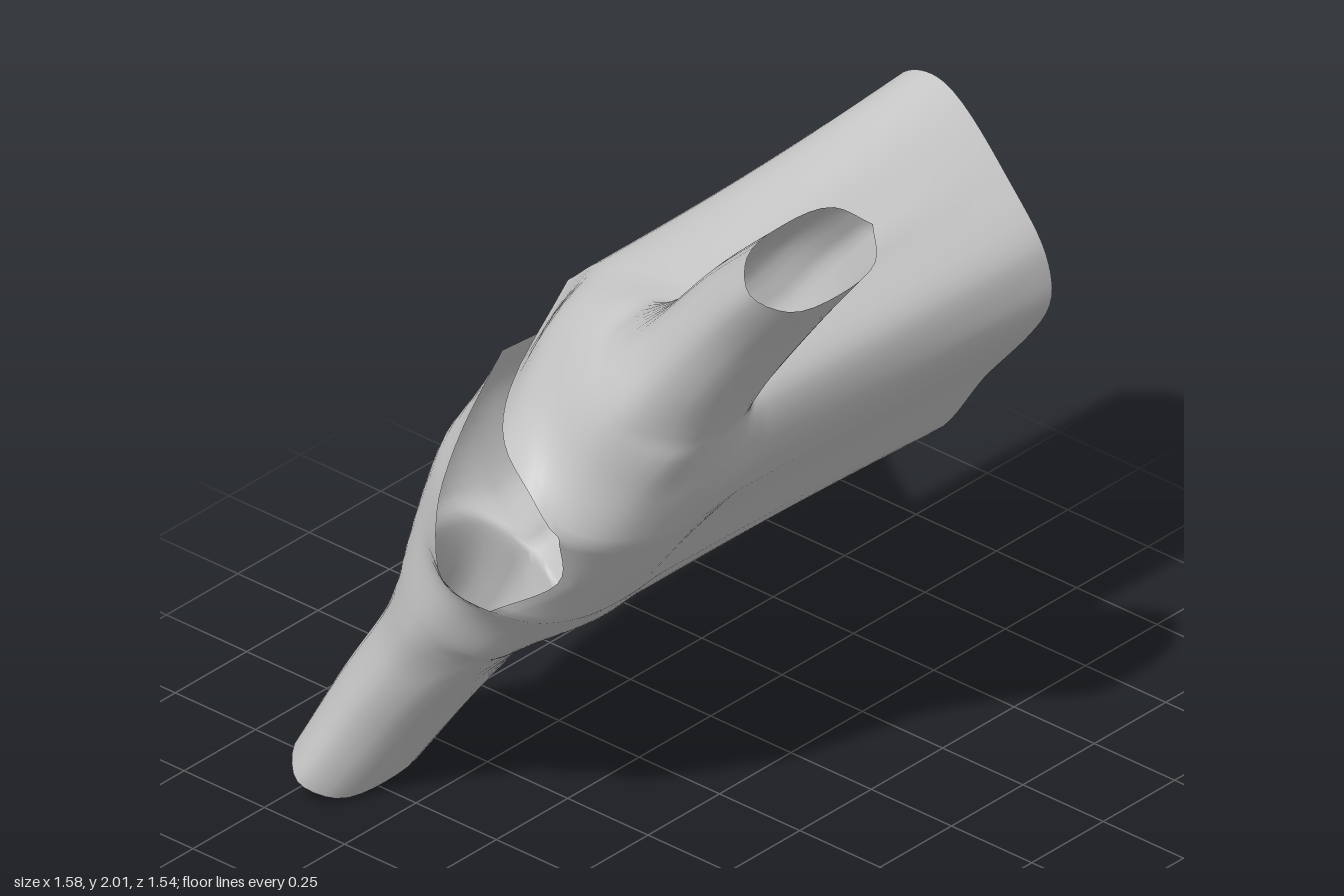
import * as THREE from 'three';
import { mergeVertices } from 'three/addons/utils/BufferGeometryUtils.js';

// Open jacket. Design axes: u = across the shoulders, v = towards the chest, w = hem to neck.
const N = 6;        // steps between stations
const ARC = 32;     // steps over the shoulder, back to front
const HEM_ROWS = 20;
const V = (p) => new THREE.Vector3(...p);
const at = (points, t) => new THREE.CatmullRomCurve3(points, false, 'centripetal').getPoint(t);

// Arches over the shoulder: back hem side, shoulder ridge (middle point), front side
const neck = [[.2, -.2, .25], [.19, -.21, .4], [.185, -.2, .54], [.18, -.155, .67], [.178, -.08, .755],
  [.22, .04, .78], [.175, .18, .71], [.143, .29, .57], [.17, .44, .25]];
const shoulder = [[.36, -.18, .25], [.345, -.19, .38], [.335, -.17, .52], [.33, -.12, .64], [.325, 0, .715],
  [.32, .14, .69], [.31, .26, .59], [.31, .36, .43], [.33, .4, .25]];
const armhole = [[.485, -.095, .25], [.47, -.135, .35], [.47, -.14, .48], [.47, -.11, .61], [.47, .02, .695],
  [.47, .14, .66], [.47, .23, .56], [.475, .275, .41], [.49, .23, .25]];
const armpit = [[.52, .07, .25], [.535, -.075, .29], [.54, -.12, .42], [.54, -.1, .58], [.54, .02, .685],
  [.54, .14, .64], [.54, .205, .53], [.535, .195, .34], [.52, .07, .25]];
// Closed sleeve ring with flattened sides: position, middle and half depth, middle and half height
const ring = (u, cv, hv, cw, hw) => Array.from({ length: 9 }, (_, k) => {
  const a = k / 8 * Math.PI * 2, s = Math.sin(a);
  return [u, cv - hv * Math.sign(s) * Math.abs(s) ** .75, cw - hw * Math.cos(a)];
});
const stations = [neck, shoulder, armhole, armpit,
  ring(.7, .03, .135, .447, .215), ring(.93, .022, .122, .444, .218), ring(1.175, -.005, .105, .475, .215)];
const backCentre = [[0, -.19, .25], [0, -.21, .38], [0, -.21, .5], [0, -.185, .6], [0, -.138, .69],
  [0, 0, .73], [0, .1, .7], [0, .2, .6], [0, .3, .4]];
// Half outline of the hem from back centre to front edge
const hem = [[0, -.22], [.2, -.225], [.355, -.19], [.45, -.095], [.495, .1], [.485, .345], [.42, .415], [.3, .435]];

// Rows of points lofted smoothly through a list of stations
function loft(list, from, to) {
  const arcs = list.map((s) => Array.from({ length: ARC + 1 }, (_, j) => at(s.map(V), j / ARC)));
  const last = list.length - 1, rows = [];
  for (let i = from * N; i <= to * N; i++)
    rows.push(arcs[0].map((_, j) => at(arcs.map((a) => a[j]), i / N / last)));
  return rows;
}

// Adds a grid of points and its mirror image as triangles
function addGrid(out, rows) {
  const put = (p, s) => out.push(.6 * s * p.x - .8 * p.y, 1 + .8 * s * p.x + .6 * p.y, p.z);
  for (let i = 0; i < rows.length - 1; i++)
    for (let j = 0; j < rows[0].length - 1; j++) {
      const a = rows[i][j], b = rows[i][j + 1], c = rows[i + 1][j + 1], d = rows[i + 1][j];
      [a, c, b, a, d, c].forEach((p) => put(p, 1));
      [a, b, c, a, c, d].forEach((p) => put(p, -1));
    }
}

export function createModel() {
  const group = new THREE.Group();
  group.name = 'openJacket';
  const out = [];

  // Shoulders and sleeves, closed under the arm from the armpit on
  const side = loft(stations, 0, stations.length - 1);
  for (const row of side.slice(3 * N)) {
    const mid = row[0].clone().lerp(row[ARC], .5);
    row[0].copy(mid);
    row[ARC].copy(mid);
  }
  addGrid(out, side);

  // Upper back between the neck sides
  const mirroredNeck = neck.map(([u, v, w]) => [-u, v, w]);
  const back = loft([mirroredNeck, backCentre, neck], 1, 2).map((r) => r.slice(0, ARC / 2 + 1));
  addGrid(out, back);

  // Torso from the lower edge of the yoke, slightly waisted, down to an uneven hem
  const top = [
    ...back.slice(0, N).map((r) => r[0]),
    ...side.slice(0, 3 * N + 1).map((r) => r[0]),
    ...side.slice(0, 3 * N).reverse().map((r) => r[ARC]),
  ];
  const hemPoints = hem.map(([u, v]) => V([u, v, 0]));
  const bottom = top.map((_, k) => {
    const t = k / (top.length - 1);
    const p = at(hemPoints, t);
    p.z = -.745 + .014 * Math.cos(t * 13) - .03 * t ** 6;
    p.y += .006 * Math.sin(t * 24) * Math.sin(t * Math.PI);
    return p;
  });
  const torso = [];
  for (let i = 0; i <= HEM_ROWS; i++) {
    const t = i / HEM_ROWS, waist = 1 - .02 * Math.sin(t * Math.PI);
    torso.push(top.map((p, k) => {
      const q = p.clone().lerp(bottom[k], t);
      return q.set(q.x * waist, q.y * waist, q.z);
    }));
  }
  addGrid(out, torso);

  const geometry = new THREE.BufferGeometry();
  geometry.setAttribute('position', new THREE.Float32BufferAttribute(out, 3));
  const cloth = mergeVertices(geometry, 1e-4);
  cloth.computeVertexNormals();
  const mesh = new THREE.Mesh(cloth,
    new THREE.MeshStandardMaterial({ color: 0xcccccc, side: THREE.DoubleSide }));
  mesh.name = 'jacketCloth';
  group.add(mesh);
  return group;
}
